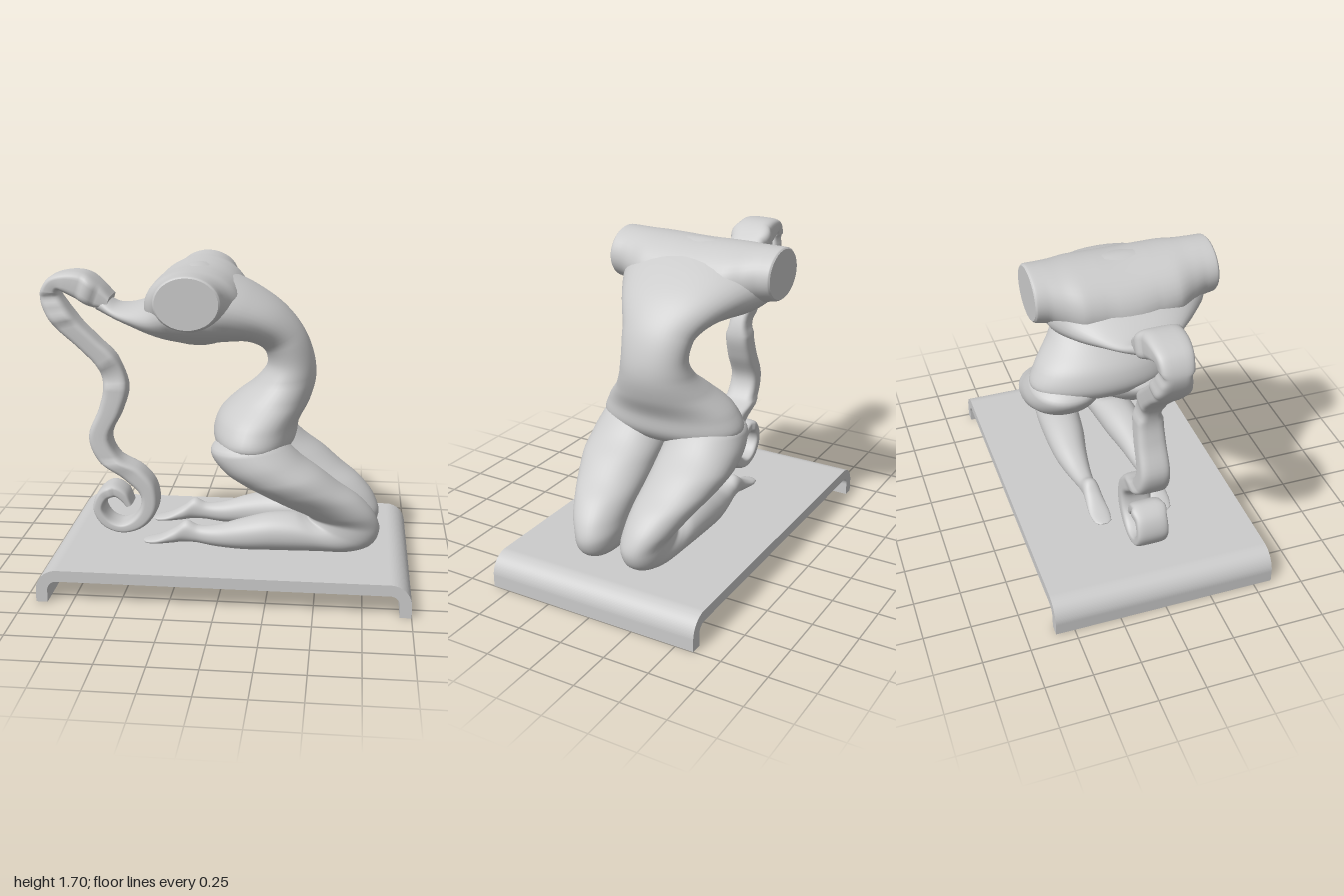
import * as THREE from 'three';

const material = new THREE.MeshStandardMaterial({ color: 0xcccccc });

// Skins a list of rings into a smooth closed body with flat, crisp end caps.
function skin(name, rings) {
  const n = rings[0].length, pos = [], idx = [];
  rings.forEach(r => r.forEach(p => pos.push(p.x, p.y, p.z)));
  for (let i = 0; i < rings.length - 1; i++) {
    for (let j = 0; j < n; j++) {
      const a = i * n + j, b = i * n + (j + 1) % n;
      idx.push(a, b, b + n, a, b + n, a + n);
    }
  }
  for (const [ring, flip] of [[rings[0], true], [rings[rings.length - 1], false]]) {
    const start = pos.length / 3, c = new THREE.Vector3();
    ring.forEach(p => { pos.push(p.x, p.y, p.z); c.addScaledVector(p, 1 / n); });
    pos.push(c.x, c.y, c.z);
    for (let j = 0; j < n; j++) {
      const a = start + j, b = start + (j + 1) % n;
      idx.push(start + n, flip ? b : a, flip ? a : b);
    }
  }
  const g = new THREE.BufferGeometry();
  g.setAttribute('position', new THREE.Float32BufferAttribute(pos, 3));
  g.setIndex(idx);
  g.computeVertexNormals();
  const mesh = new THREE.Mesh(g, material);
  mesh.name = name;
  return mesh;
}

// Lofts rows [leftX, leftY, rightX, rightY, halfWidth, centreZ]; "left" is left of travel.
// The exponent makes each cross-section an ellipse (2) or more boxy (above 2).
function loft(name, rows, exponent = 2, side = 1, steps = 6, around = 40) {
  const curve = f => new THREE.CatmullRomCurve3(rows.map(f), false, 'centripetal');
  const left = curve(r => new THREE.Vector3(r[0], r[1], 0));
  const right = curve(r => new THREE.Vector3(r[2], r[3], 0));
  const width = curve(r => new THREE.Vector3(r[4], (r[5] || 0) * side, 0));
  const power = v => Math.sign(v) * Math.pow(Math.abs(v), 2 / exponent);
  const rings = [], count = (rows.length - 1) * steps;
  for (let i = 0; i <= count; i++) {
    const t = i / count, a = left.getPoint(t), b = right.getPoint(t), w = width.getPoint(t);
    const ring = [];
    for (let j = 0; j < around; j++) {
      const th = (j / around) * Math.PI * 2, k = power(Math.cos(th)) / 2;
      ring.push(new THREE.Vector3(
        (a.x + b.x) / 2 + (a.x - b.x) * k,
        (a.y + b.y) / 2 + (a.y - b.y) * k,
        w.y + w.x * power(Math.sin(th))));
    }
    rings.push(ring);
  }
  return skin(name, rings);
}

// Bent plate with rounded shoulders and two short feet.
function makeBase() {
  const s = new THREE.Shape(), l = -0.94, r = 1, h = 0.175, t = 0.06, R = 0.11;
  s.moveTo(l, 0);
  s.lineTo(l + t, 0);
  s.lineTo(l + t, h - R);
  s.absarc(l + R, h - R, R - t, Math.PI, Math.PI / 2, true);
  s.lineTo(r - R, h - t);
  s.absarc(r - R, h - R, R - t, Math.PI / 2, 0, true);
  s.lineTo(r - t, 0);
  s.lineTo(r, 0);
  s.lineTo(r, h - R);
  s.absarc(r - R, h - R, R, 0, Math.PI / 2, false);
  s.lineTo(l + R, h);
  s.absarc(l + R, h - R, R, Math.PI / 2, Math.PI, false);
  const g = new THREE.ExtrudeGeometry(s, { depth: 1.2, bevelEnabled: false, curveSegments: 12 });
  g.translate(0, 0, -0.6);
  const mesh = new THREE.Mesh(g, material);
  mesh.name = 'base';
  return mesh;
}

// Cross bar of the shoulders, cut flat at both ends.
function makeShoulders() {
  const half = [[0.475, 1.56, 0.16, 0.13], [0.465, 1.56, 0.17, 0.138], [0.4, 1.553, 0.178, 0.145],
    [0.33, 1.53, 0.205, 0.166], [0.24, 1.505, 0.25, 0.19], [0.12, 1.493, 0.26, 0.2]];
  const rows = [...half.map(([z, ...r]) => [-z, ...r]), ...half.slice().reverse()];
  const c = new THREE.CatmullRomCurve3(rows.map(r => new THREE.Vector3(r[1], r[2], r[3])), false, 'centripetal');
  const zc = new THREE.CatmullRomCurve3(rows.map(r => new THREE.Vector3(r[0], 0, 0)), false, 'centripetal');
  const rings = [];
  for (let i = 0; i <= 55; i++) {
    const p = c.getPoint(i / 55), z = zc.getPoint(i / 55).x;
    rings.push(Array.from({ length: 40 }, (_, j) => {
      const th = (j / 40) * Math.PI * 2;
      return new THREE.Vector3(-0.155 + p.y * Math.cos(th), p.x + p.z * Math.sin(th), z);
    }));
  }
  return skin('shoulders', rings);
}

export function createModel() {
  const model = new THREE.Group();
  model.add(makeBase(), makeShoulders());

  // Torso: hips, waist, arched chest, neck
  model.add(loft('torso', [
    [0.06, 0.70, 0.22, 0.68, 0.12],
    [-0.03, 0.73, 0.32, 0.71, 0.32],
    [-0.068, 0.80, 0.37, 0.77, 0.405],
    [-0.045, 0.90, 0.39, 0.87, 0.36],
    [0.05, 1.00, 0.445, 0.98, 0.265],
    [0.15, 1.08, 0.475, 1.10, 0.205],
    [0.215, 1.17, 0.465, 1.21, 0.185],
    [0.20, 1.25, 0.41, 1.35, 0.20],
    [0.12, 1.295, 0.30, 1.48, 0.27],
    [0.02, 1.297, 0.14, 1.585, 0.35],
    [-0.08, 1.29, 0.0, 1.645, 0.41],
    [-0.18, 1.285, -0.15, 1.695, 0.43],
    [-0.29, 1.30, -0.28, 1.65, 0.41],
    [-0.40, 1.33, -0.37, 1.54, 0.32],
    [-0.50, 1.365, -0.47, 1.485, 0.225],
    [-0.60, 1.40, -0.58, 1.475, 0.145],
    [-0.70, 1.44, -0.67, 1.53, 0.09]], 2.1));

  // Folded legs: buttock, thigh, knee, calf, foot
  const leg = [
    [0.22, 0.87, 0.02, 0.83, 0.10, 0.19],
    [0.33, 0.79, -0.065, 0.75, 0.195, 0.21],
    [0.42, 0.71, 0.0, 0.645, 0.21, 0.217],
    [0.52, 0.64, 0.10, 0.575, 0.205, 0.217],
    [0.62, 0.56, 0.22, 0.505, 0.187, 0.20],
    [0.73, 0.48, 0.33, 0.44, 0.16, 0.175],
    [0.805, 0.39, 0.42, 0.395, 0.137, 0.155],
    [0.835, 0.30, 0.45, 0.37, 0.12, 0.138],
    [0.80, 0.22, 0.45, 0.36, 0.12, 0.14],
    [0.70, 0.18, 0.43, 0.365, 0.12, 0.15],
    [0.50, 0.18, 0.38, 0.38, 0.12, 0.165],
    [0.25, 0.18, 0.25, 0.38, 0.11, 0.18],
    [0.10, 0.18, 0.10, 0.345, 0.088, 0.19],
    [-0.05, 0.187, -0.05, 0.30, 0.06, 0.185],
    [-0.15, 0.20, -0.14, 0.295, 0.046, 0.18],
    [-0.22, 0.20, -0.205, 0.32, 0.046, 0.178],
    [-0.28, 0.192, -0.27, 0.275, 0.05, 0.176],
    [-0.36, 0.186, -0.35, 0.23, 0.056, 0.174],
    [-0.42, 0.187, -0.42, 0.21, 0.045, 0.172],
    [-0.44, 0.195, -0.44, 0.202, 0.02, 0.172]];
  model.add(loft('leftSideLeg', leg, 2.15, 1), loft('rightSideLeg', leg, 2.15, -1));

  // Ribbon of hair: folds over, falls in waves, ends in a curl
  model.add(loft('hairRibbon', [
    [-0.64, 1.45, -0.615, 1.52, 0.10],
    [-0.72, 1.46, -0.67, 1.58, 0.105],
    [-0.80, 1.50, -0.75, 1.638, 0.105],
    [-0.87, 1.535, -0.85, 1.645, 0.10],
    [-0.895, 1.545, -0.95, 1.61, 0.09],
    [-0.90, 1.53, -1.0, 1.53, 0.082],
    [-0.86, 1.46, -0.99, 1.45, 0.082],
    [-0.80, 1.38, -0.93, 1.35, 0.082],
    [-0.70, 1.28, -0.80, 1.23, 0.075],
    [-0.60, 1.18, -0.70, 1.12, 0.07],
    [-0.54, 1.02, -0.675, 1.02, 0.07],
    [-0.575, 0.88, -0.70, 0.90, 0.075],
    [-0.64, 0.73, -0.76, 0.74, 0.08],
    [-0.59, 0.62, -0.715, 0.61, 0.085],
    [-0.47, 0.555, -0.57, 0.50, 0.085],
    [-0.395, 0.46, -0.48, 0.41, 0.085],
    [-0.385, 0.33, -0.485, 0.33, 0.085],
    [-0.46, 0.225, -0.53, 0.27, 0.085],
    [-0.58, 0.187, -0.59, 0.243, 0.085],
    [-0.69, 0.225, -0.65, 0.265, 0.085],
    [-0.745, 0.32, -0.685, 0.325, 0.085],
    [-0.715, 0.42, -0.665, 0.375, 0.085],
    [-0.635, 0.467, -0.62, 0.395, 0.085],
    [-0.56, 0.43, -0.585, 0.37, 0.08],
    [-0.525, 0.355, -0.56, 0.34, 0.075]], 4));

  return model;
}
